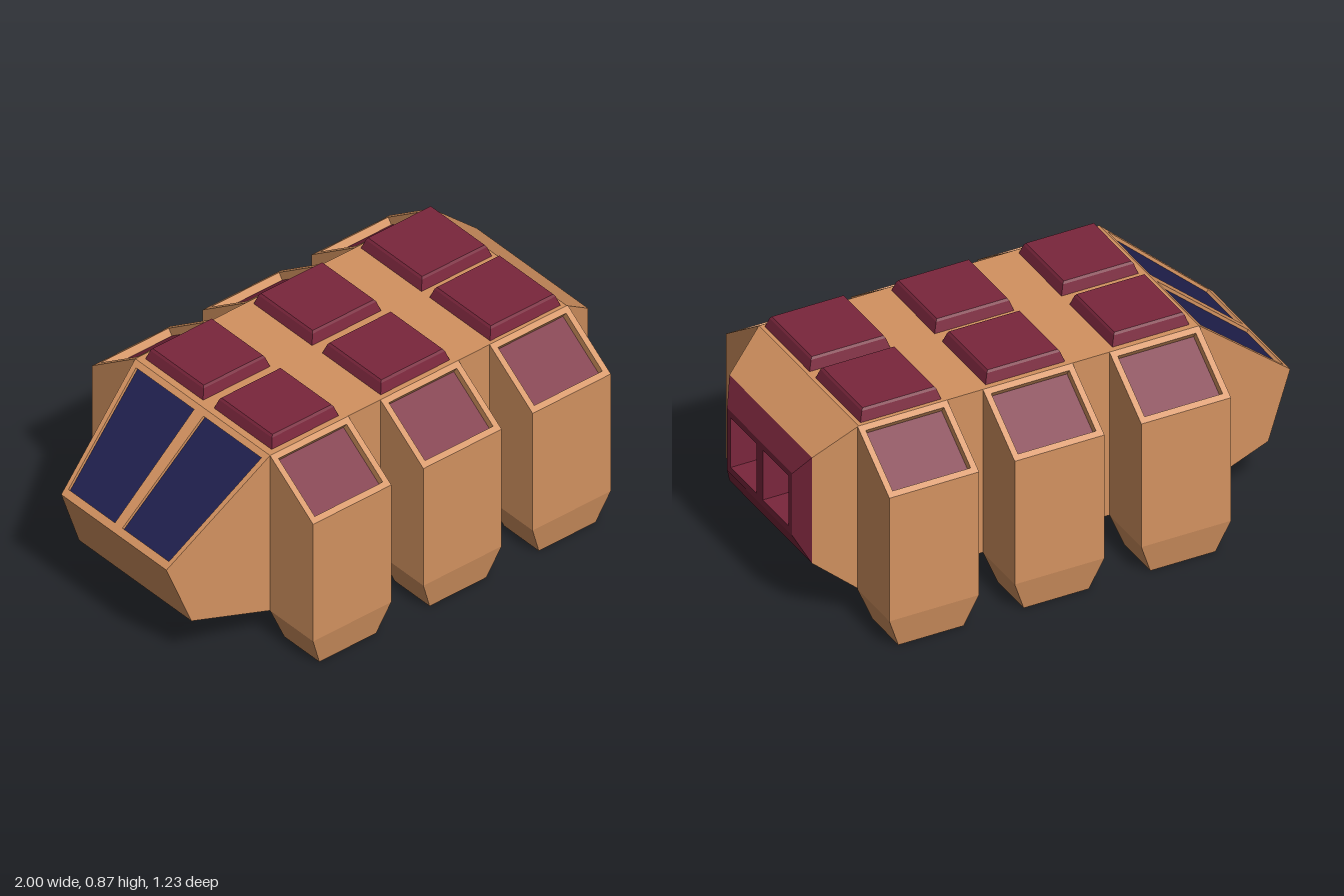
import * as THREE from 'three';

const V = (x, y, z) => new THREE.Vector3(x, y, z);
const mat = (name, color) => {
  const m = new THREE.MeshStandardMaterial({ color });
  m.name = name;
  return m;
};

// Flat-shaded mesh from a list of quads, corners counter-clockwise from outside
function quadMesh(name, material, quads) {
  const pos = [];
  for (const [a, b, c, d] of quads) {
    for (const p of [a, b, c, a, c, d]) pos.push(p.x, p.y, p.z);
  }
  const geo = new THREE.BufferGeometry();
  geo.setAttribute('position', new THREE.Float32BufferAttribute(pos, 3));
  geo.computeVertexNormals();
  const mesh = new THREE.Mesh(geo, material);
  mesh.name = name;
  return mesh;
}

// Four quads joining two four-cornered rings
const band = (a, b) => [0, 1, 2, 3].map((i) => [a[i], a[(i + 1) % 4], b[(i + 1) % 4], b[i]]);

// Smaller ring inside a quad, in fractions along its two directions
function inset([a, b, c, d], u0, u1, v0, v1) {
  const at = (u, v) => a.clone().lerp(b, u).lerp(d.clone().lerp(c, u), v);
  return [at(u0, v0), at(u1, v0), at(u1, v1), at(u0, v1)];
}

// Frame with a sunken opening; returns the frame, its walls and the floor
function recess(outer, limits, push) {
  const rim = inset(outer, ...limits);
  const floor = rim.map((p) => p.clone().add(push));
  return { frame: [...band(outer, rim), ...band(rim, floor)], floor };
}

const ringX = (x, y0, y1, z) => [V(x, y0, z), V(x, y0, -z), V(x, y1, -z), V(x, y1, z)];
const ringDown = (y, x, z0, z1) => [V(-x, y, z0), V(x, y, z0), V(x, y, z1), V(-x, y, z1)];
const ringUp = (y, x, z) => [V(-x, y, z), V(x, y, z), V(x, y, -z), V(-x, y, -z)];

export function createModel() {
  const tan = mat('tan hull', 0xd39260);
  const maroon = mat('maroon panel', 0x7a263c);
  const navy = mat('navy glass', 0x20204f);
  const black = mat('black vent', 0x0f0f0f);
  const model = new THREE.Group();
  model.name = 'transport';

  // Hull box and tapered rear
  const xFront = -0.585, yLow = 0.13, yTop = 0.825, zSide = 0.375;
  const bodyEnd = ringX(0.8, yLow, yTop, zSide);
  const collar = ringX(0.955, 0.25, 0.7, 0.31);
  model.add(quadMesh('hull', tan, [
    ...band(ringX(xFront, yLow, yTop, zSide), bodyEnd),
    ...band(bodyEnd, collar),
  ]));

  // Engine block with two deep vents
  const rear = ringX(1, 0.345, 0.61, 0.245);
  const engine = band(collar, rear);
  const vents = [];
  for (const [zL, zR, u0, u1] of [[0.245, 0, 0.11, 0.9], [0, -0.245, 0.1, 0.89]]) {
    const half = [V(1, 0.345, zL), V(1, 0.345, zR), V(1, 0.61, zR), V(1, 0.61, zL)];
    const r = recess(half, [u0, u1, 0.1, 0.9], V(-0.17, 0, 0));
    engine.push(...r.frame);
    vents.push(r.floor);
  }
  model.add(quadMesh('engineBlock', maroon, engine));
  model.add(quadMesh('engineVents', black, vents));

  // Wedge nose with two windscreen panes
  const top = (z) => V(xFront, yTop, z), low = (z) => V(xFront, yLow, z);
  const tip = (s) => V(-1, 0.465, 0.293 * s), chin = (s) => V(-0.9, 0.2, 0.313 * s);
  const nose = [
    [low(-zSide), low(zSide), chin(1), chin(-1)],
    [chin(-1), chin(1), tip(1), tip(-1)],
    [tip(1), chin(1), low(zSide), top(zSide)],
    [top(-zSide), low(-zSide), chin(-1), tip(-1)],
  ];
  const panes = [];
  const sink = V(0.36, -0.415, 0).setLength(0.012);
  for (const [a, b, u0, u1] of [[-1, 0, 0.06, 0.93], [0, 1, 0.07, 0.94]]) {
    const half = [tip(a), tip(b), top(b * zSide), top(a * zSide)];
    const r = recess(half, [u0, u1, 0.055, 0.955], sink);
    nose.push(...r.frame);
    panes.push(r.floor);
  }
  model.add(quadMesh('nose', tan, nose));
  model.add(quadMesh('windscreen', navy, panes));

  // Side pod: sloped top with sunken panel, tapered hollow foot
  function sidePod() {
    const pod = new THREE.Group();
    pod.name = 'sidePod';
    const w = 0.1825, zo = 0.615;
    const upper = [V(-w, yTop, zSide), V(w, yTop, zSide), V(w, 0.655, zo), V(-w, 0.655, zo)];
    const lower = ringDown(yLow, w, zSide, zo);
    const foot = ringDown(0, 0.1325, 0.395, 0.59);
    const rim = ringDown(0, 0.1145, 0.412, 0.573);
    const inner = ringDown(0.12, 0.1145, 0.412, 0.573);
    const slope = [upper[3], upper[2], upper[1], upper[0]];
    const r = recess(slope, [0.065, 0.935, 0.08, 0.92], V(0, -0.0245, -0.0173));
    pod.add(quadMesh('podShell', tan, [
      ...band(upper, lower), ...band(lower, foot), ...band(foot, rim),
      ...band(rim, inner), inner, ...r.frame,
    ]));
    pod.add(quadMesh('podPanel', maroon, [r.floor]));
    return pod;
  }
  for (const x of [-0.4025, 0.1125, 0.6225]) {
    for (const side of [1, -1]) {
      const pod = sidePod();
      pod.position.x = x;
      if (side < 0) pod.rotation.y = Math.PI;
      model.add(pod);
    }
  }

  // Bevelled roof hatches, two per bay
  for (const [x, hx, hz] of [[-0.401, 0.158, 0.162], [0.111, 0.163, 0.164], [0.62, 0.166, 0.17]]) {
    const base = ringUp(yTop - 0.005, hx, hz);
    const shoulder = ringUp(0.864, hx - 0.014, hz - 0.014);
    const lid = ringUp(0.873, hx - 0.02, hz - 0.02);
    for (const z of [0.191, -0.191]) {
      const hatch = quadMesh('roofHatch', maroon, [...band(base, shoulder), ...band(shoulder, lid), lid]);
      hatch.position.set(x, 0, z);
      model.add(hatch);
    }
  }

  return model;
}
